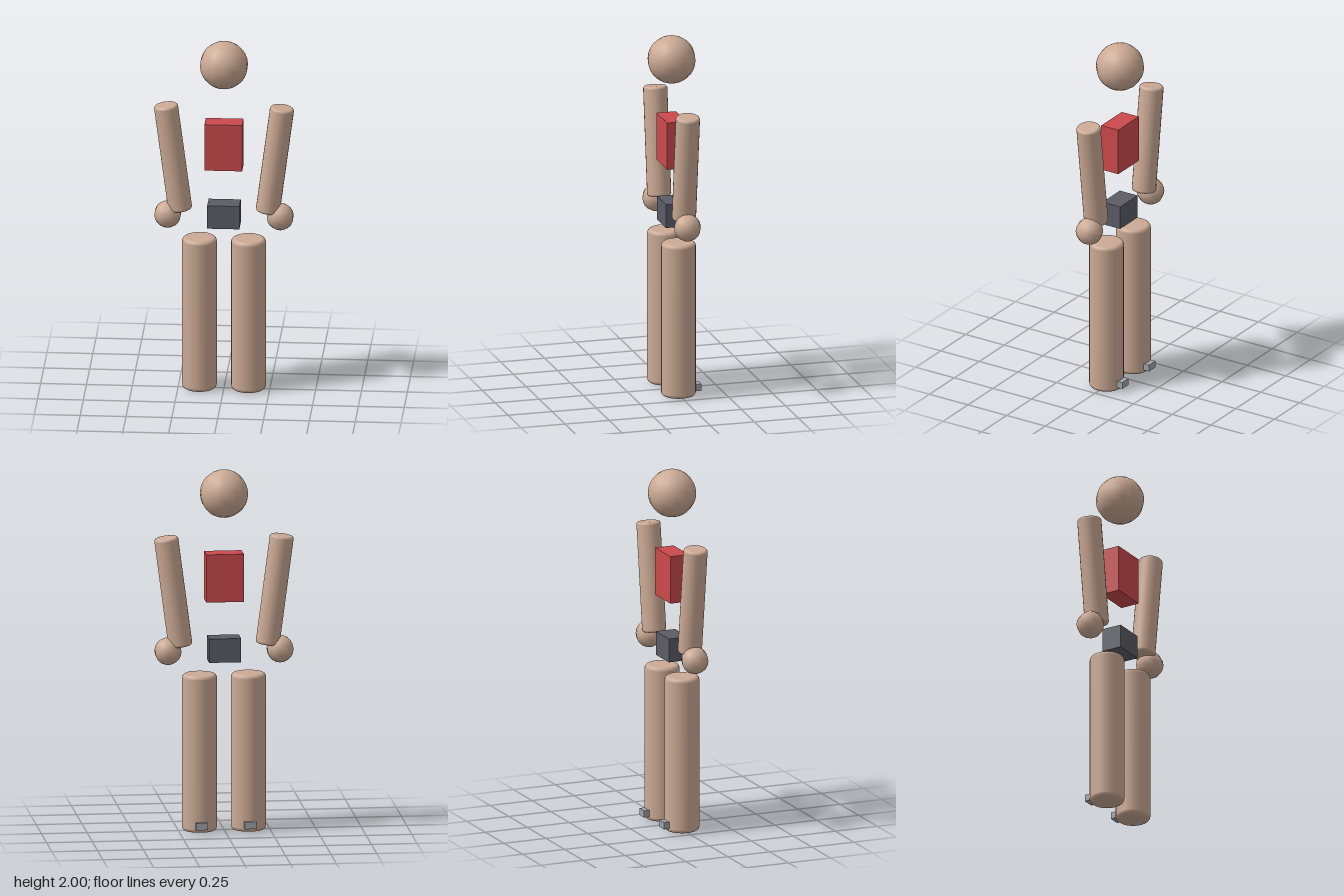
import * as THREE from 'three';

const material = (color) => new THREE.MeshStandardMaterial({ color });

// Cylinder along y, centred on the origin, with softly rounded rims
function roundedCylinder(radius, length, bevel, sides) {
  const h = length / 2;
  const points = [new THREE.Vector2(0, -h)];
  for (const end of [-1, 1]) {
    for (let i = 0; i <= 4; i++) {
      const a = (end < 0 ? i - 4 : i) * Math.PI / 8;
      points.push(new THREE.Vector2(
        radius - bevel + bevel * Math.cos(a),
        end * (h - bevel) + bevel * Math.sin(a)));
    }
  }
  points.push(new THREE.Vector2(0, h));
  return new THREE.LatheGeometry(points, sides);
}

// Sphere turned so that a ring corner points along z
function ball(radius, sides, rings) {
  return new THREE.SphereGeometry(radius, sides, rings).rotateY(Math.PI / 2);
}

export function createModel() {
  const model = new THREE.Group();
  const skin = material(0xccaa95);
  const red = material(0xcc4a4c);
  const slate = material(0x5c5c68);
  const grey = material(0xa0a5aa);

  function add(name, geometry, mat, x, y, z = 0, tilt = 0) {
    const mesh = new THREE.Mesh(geometry, mat);
    mesh.name = name;
    mesh.position.set(x, y, z);
    mesh.rotation.z = tilt;
    model.add(mesh);
  }

  // Head and body blocks
  add('head', ball(0.132, 14, 14), skin, 0, 1.868);
  add('torso', new THREE.BoxGeometry(0.206, 0.265, 0.11), red, 0, 1.408);
  add('pelvis', new THREE.BoxGeometry(0.175, 0.132, 0.115), slate, 0, 1.007);

  // Limbs, mirrored left and right
  const arm = roundedCylinder(0.066, 0.608, 0.015, 24);
  const leg = roundedCylinder(0.095, 0.87, 0.022, 24);
  const hand = ball(0.075, 10, 10);
  const heel = new THREE.BoxGeometry(0.065, 0.038, 0.045);
  for (const [side, s] of [['left', 1], ['right', -1]]) {
    add(side + 'Arm', arm, skin, s * 0.278, 1.33, 0, -s * 0.131);
    add(side + 'Hand', hand, skin, s * 0.307, 1.0);
    add(side + 'Leg', leg, skin, s * 0.134, 0.438);
    add(side + 'Heel', heel, grey, s * 0.133, 0.045, -0.099);
  }
  return model;
}
